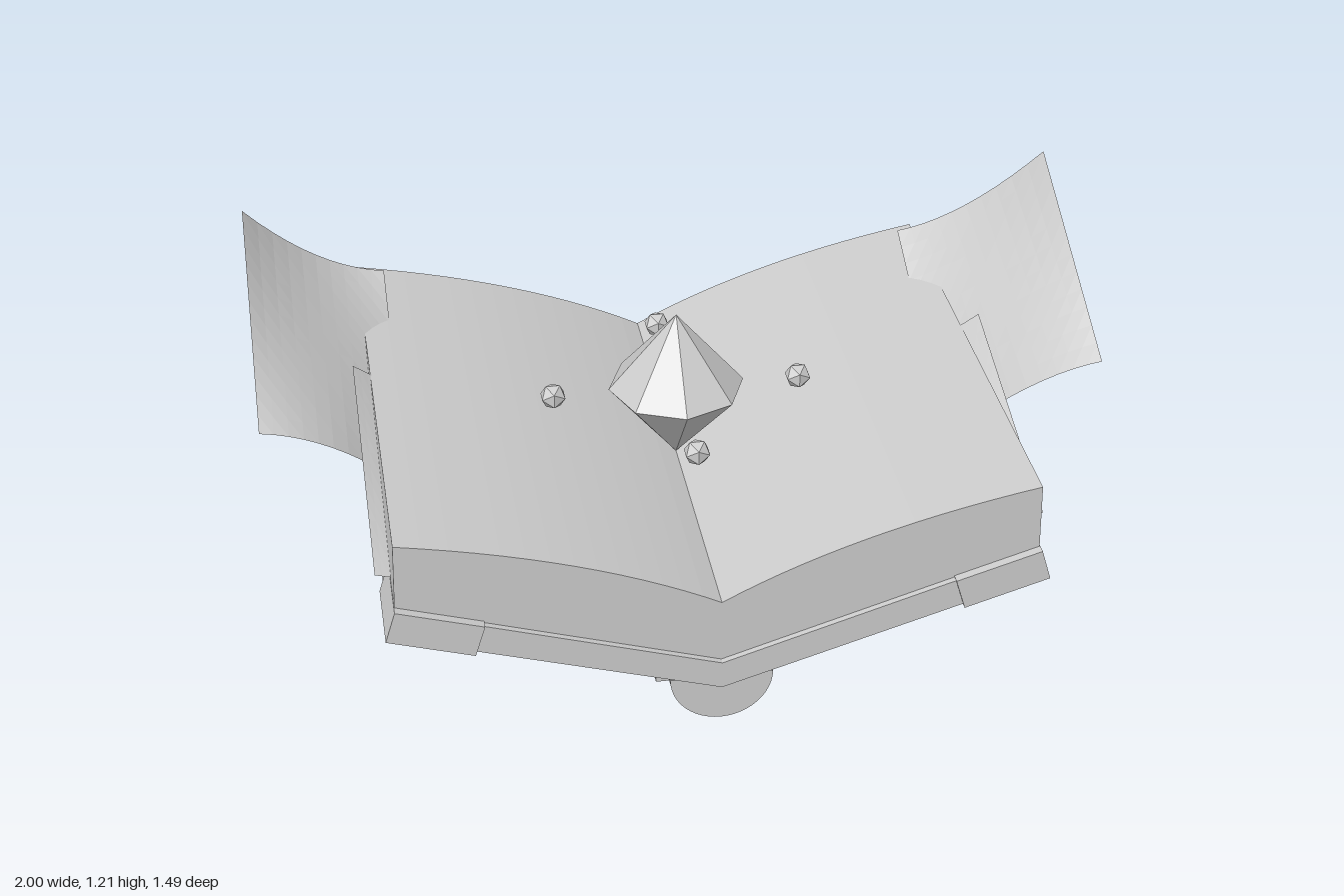
import * as THREE from 'three';

const grey = new THREE.MeshStandardMaterial({ color: 0xcccccc, side: THREE.DoubleSide });
grey.name = 'grey';

function add(parent, name, geometry, x = 0, y = 0, z = 0) {
  const mesh = new THREE.Mesh(geometry, grey);
  mesh.name = name;
  mesh.position.set(x, y, z);
  parent.add(mesh);
  return mesh;
}

function faceted(geometry) {
  const g = geometry.index ? geometry.toNonIndexed() : geometry;
  g.computeVertexNormals();
  return g;
}

// Box given by its minimum and maximum corners
function span(parent, name, a, b) {
  const size = b.map((v, i) => v - a[i]);
  const mid = b.map((v, i) => (v + a[i]) / 2);
  return add(parent, name, new THREE.BoxGeometry(...size), ...mid);
}

// Saddle-shaped loose leaf, tilted about x; (x1, y, z) is its back outer corner
function leaf(side, { x0, x1, y, z, length, tilt, dropBack, dropFront, bend }) {
  const g = new THREE.PlaneGeometry(1, 1, 10, 12);
  const p = g.attributes.position;
  const c = Math.cos(tilt), s = Math.sin(tilt);
  for (let i = 0; i < p.count; i++) {
    const u = p.getX(i) + 0.5, v = 0.5 - p.getY(i);
    const drop = THREE.MathUtils.lerp(dropBack, dropFront, v) * (1 - u);
    const h = -drop + bend * (2 * v - 1) * 4 * u * (1 - u);
    const l = v * length;
    p.setXYZ(i, side * (x0 + (x1 - x0) * u), y - l * s + h * c, z + l * c + h * s);
  }
  if (side < 0) {
    const ix = g.index;
    for (let i = 0; i < ix.count; i += 3) {
      const t = ix.getX(i);
      ix.setX(i, ix.getX(i + 1));
      ix.setX(i + 1, t);
    }
  }
  return faceted(g);
}

export function createModel() {
  const model = new THREE.Group();
  model.name = 'floatingOpenBook';

  // Page block: curved V-shaped section run along z
  const section = new THREE.Shape();
  section.moveTo(0, 0.5);
  section.lineTo(0.735, 0.725);
  section.lineTo(0.73, 0.895);
  section.quadraticCurveTo(0.3, 0.82, 0, 0.66);
  section.quadraticCurveTo(-0.3, 0.82, -0.73, 0.895);
  section.lineTo(-0.735, 0.725);
  section.closePath();
  add(model, 'pageBlock',
    new THREE.ExtrudeGeometry(section, { depth: 1.27, bevelEnabled: false, curveSegments: 14 }), 0, 0, -0.55);

  // Cover core in one V so the fold is closed
  const cover = new THREE.Shape();
  [[0, 0.43], [0.75, 0.66], [0.735, 0.73], [0, 0.5], [-0.735, 0.73], [-0.75, 0.66]]
    .forEach(([x, y], i) => (i ? cover.lineTo(x, y) : cover.moveTo(x, y)));
  add(model, 'cover', new THREE.ExtrudeGeometry(cover, { depth: 1.31, bevelEnabled: false }), 0, 0, -0.575);

  for (const side of [1, -1]) {
    // Cover fittings lie on the slanted board
    const board = new THREE.Group();
    board.name = side > 0 ? 'leftBoardFittings' : 'rightBoardFittings';
    board.position.y = 0.466;
    board.rotation.z = side * 0.298;
    model.add(board);
    const xs = (a, b) => (side > 0 ? [a, b] : [-b, -a]);
    const [p0, p1] = xs(0.1, 0.755);
    span(board, 'backPanel', [p0, -0.039, -0.53], [p1, -0.03, 0.7]);
    const [c0, c1] = xs(0.575, 0.782);
    span(board, 'frontCorner', [c0, -0.042, 0.545], [c1, 0.039, 0.742]);
    span(board, 'backCorner', [c0, -0.042, -0.583], [c1, 0.039, -0.375]);

    // Large turning page and the lower loose page
    add(model, 'turningPage', leaf(side, {
      x0: 0.665, x1: 1, y: 1.21, z: -0.3, length: 0.64, tilt: 0.443,
      dropBack: 0.29, dropFront: 0.29, bend: 0.055,
    }));
    add(model, 'loosePage', leaf(side, {
      x0: 0.6, x1: 0.77, y: 0.93, z: 0, length: 0.645, tilt: 0.276,
      dropBack: 0.145, dropFront: 0.06, bend: 0,
    }));
  }

  // Rounded spine with five raised bands
  const halfRod = (r, length) =>
    new THREE.CylinderGeometry(r, r, length, 24, 1, false, Math.PI / 2, Math.PI).rotateX(Math.PI / 2);
  // Keep the lower half whichever way the arc starts
  const lower = (g) => {
    g.computeBoundingBox();
    return g.boundingBox.max.y > 0.01 ? g.rotateZ(Math.PI) : g;
  };
  add(model, 'spine', lower(halfRod(0.12, 1.285)), 0, 0.46, 0.0875);
  for (let i = 0; i < 5; i++) {
    add(model, 'spineBand', lower(halfRod(0.143, 0.075)), 0, 0.46, 0.515 - i * 0.215);
  }

  // Ribbon bookmark: a flat strip swaying sideways as it hangs
  const sway = new THREE.CatmullRomCurve3([
    [0, 0.545, -0.585], [0.025, 0.45, -0.617], [0.042, 0.34, -0.653],
    [0.02, 0.2, -0.7], [-0.03, 0.062, -0.745],
  ].map((q) => new THREE.Vector3(...q)));
  const ribbon = new THREE.PlaneGeometry(0.1, 1, 1, 16);
  const rp = ribbon.attributes.position;
  for (let i = 0; i < rp.count; i++) {
    const q = sway.getPoint(0.5 - rp.getY(i));
    rp.setXYZ(i, q.x - rp.getX(i), q.y, q.z);
  }
  ribbon.computeVertexNormals();
  add(model, 'ribbon', ribbon);
  span(model, 'ribbonTab', [-0.05, 0.54, -0.6], [0.05, 0.546, -0.55]);

  // Floating crystal and its four satellites
  const crystal = new THREE.Group();
  crystal.name = 'crystal';
  crystal.position.set(0, 0.852, 0.08);
  model.add(crystal);
  add(crystal, 'crystalTop', faceted(new THREE.ConeGeometry(0.165, 0.193, 8, 1, true)), 0, 0.0965, 0);
  add(crystal, 'crystalBottom',
    faceted(new THREE.ConeGeometry(0.165, 0.193, 8, 1, true).rotateX(Math.PI)), 0, -0.0965, 0);
  for (let i = 0; i < 4; i++) {
    const a = (i * Math.PI) / 2;
    add(model, 'satelliteGem', new THREE.IcosahedronGeometry(0.033, 0),
      0.3 * Math.cos(a), 0.847, 0.08 + 0.3 * Math.sin(a));
  }

  // Small cube floating beneath the spine
  add(model, 'lowerCube', new THREE.BoxGeometry(0.125, 0.125, 0.125), 0, 0.0625, 0.085);

  return model;
}
